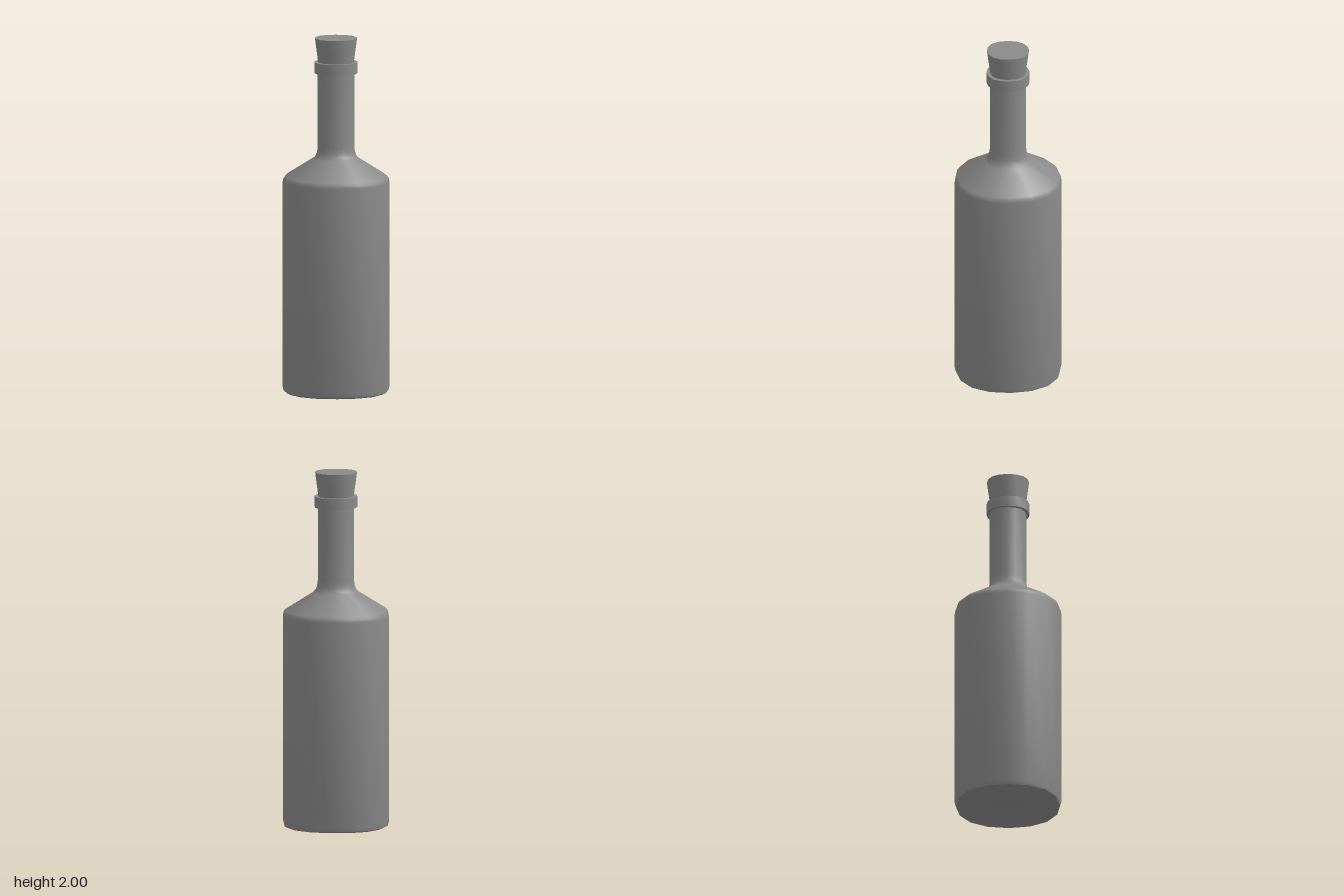
import * as THREE from 'three';
import { toCreasedNormals } from 'three/addons/utils/BufferGeometryUtils.js';

const SIDES = 16;
const BULGE = 0.073;
const material = new THREE.MeshStandardMaterial({ color: 0x8a8a8a });

// Turned part from [radius, height] pairs listed bottom to top; sharp corners stay sharp
function turned(name, profile) {
  const points = profile.map(([r, y]) => new THREE.Vector2(r, y));
  const lathe = new THREE.LatheGeometry(points, SIDES);

  // The round is slightly fuller on the diagonals than along x and z
  const position = lathe.attributes.position;
  for (let i = 0; i < position.count; i++) {
    const x = position.getX(i), z = position.getZ(i);
    const rr = x * x + z * z || 1;
    position.setX(i, x * (1 + BULGE * z * z / rr));
    position.setZ(i, z * (1 + BULGE * x * x / rr));
  }

  const mesh = new THREE.Mesh(toCreasedNormals(lathe, 0.8), material);
  mesh.name = name;
  return mesh;
}

export function createModel() {
  const group = new THREE.Group();
  group.name = 'bottle';

  // Base, straight body, sloping shoulder and slim neck
  group.add(turned('bottleBody', [
    [0, 0], [0.275, 0], [0.292, 0.008], [0.298, 0.03],
    [0.298, 1.19], [0.296, 1.206], [0.286, 1.22],
    [0.128, 1.321], [0.114, 1.336], [0.106, 1.358], [0.102, 1.39],
    [0.102, 1.82],
  ]));

  // Collar around the mouth
  group.add(turned('lipRing', [
    [0.095, 1.803], [0.12, 1.803], [0.12, 1.865], [0.09, 1.865],
  ]));

  // Tapered stopper, widening upwards
  group.add(turned('cork', [
    [0, 1.82], [0.094, 1.82], [0.118, 2], [0, 2],
  ]));

  return group;
}
